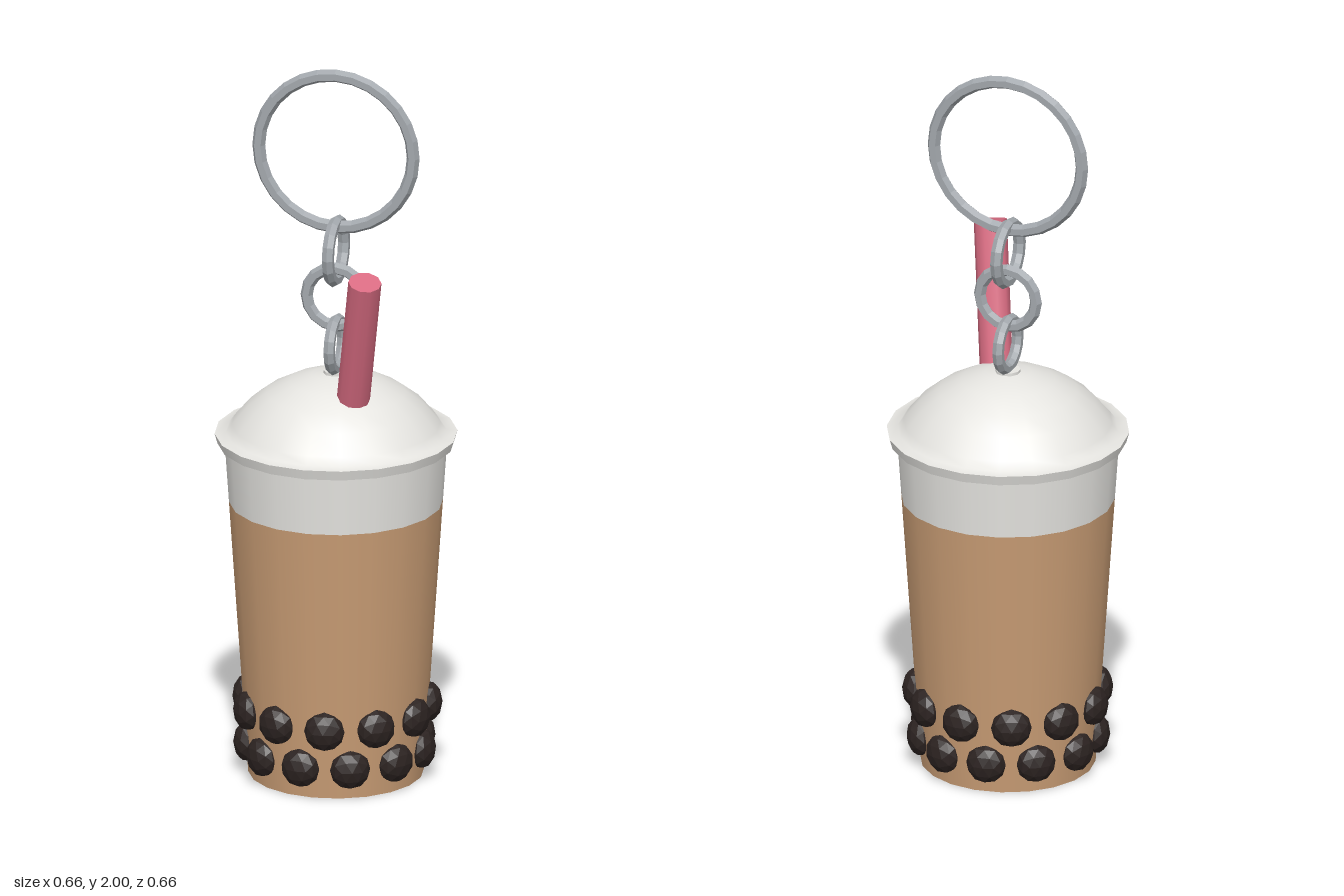
import * as THREE from 'three';

const mat = (name, color, extra = {}) => {
  const m = new THREE.MeshStandardMaterial({ color, ...extra });
  m.name = name;
  return m;
};

export function createModel() {
  const model = new THREE.Group();
  model.name = 'drinkKeychain';

  const white = mat('milk white', 0xe6e5e1);
  const tea = mat('milk tea', 0xc89c74);
  const pink = mat('straw pink', 0xd96c82);
  const black = mat('pearl black', 0x2c2321, { flatShading: true });
  const metal = mat('metal grey', 0xa3a8ad, { flatShading: true });

  const add = (name, geometry, material, x = 0, y = 0, z = 0) => {
    const mesh = new THREE.Mesh(geometry, material);
    mesh.name = name;
    mesh.position.set(x, y, z);
    model.add(mesh);
    return mesh;
  };
  const lathe = (pts) =>
    new THREE.LatheGeometry(pts.map(([r, y]) => new THREE.Vector2(r, y)), 20);

  // Tapered cup: tea below, pale band above
  add('teaBody', new THREE.CylinderGeometry(0.289, 0.237, 0.77, 20), tea, 0, 0.385, 0);
  add('cupBand', new THREE.CylinderGeometry(0.301, 0.289, 0.175, 20, 1, true), white, 0, 0.8575, 0);

  // Lid: underside, slanted rim and dome
  add('lidUnderside', lathe([[0.285, 0.937], [0.32, 0.937]]), white);
  add('lidRim', lathe([[0.32, 0.937], [0.328, 0.965]]), white);
  add('lidDome', lathe([
    [0.328, 0.965], [0.298, 0.968], [0.282, 0.99], [0.238, 1.042],
    [0.188, 1.08], [0.127, 1.112], [0.065, 1.131], [0, 1.137],
  ]), white);
  add('lidPeg', new THREE.CylinderGeometry(0.034, 0.034, 0.04, 10), white, 0, 1.122, 0);

  // Straw leaning forward and to the left
  const foot = new THREE.Vector3(0.062, 1.01, 0.077);
  const tip = new THREE.Vector3(0.139, 1.475, 0.211);
  const dir = tip.clone().sub(foot);
  const straw = add('straw', new THREE.CylinderGeometry(0.045, 0.045, dir.length(), 10), pink);
  straw.position.copy(foot).add(tip).multiplyScalar(0.5);
  straw.quaternion.setFromUnitVectors(new THREE.Vector3(0, 1, 0), dir.normalize());

  // Two staggered rows of flattened pearls
  const pearlGeo = new THREE.IcosahedronGeometry(0.055, 1);
  [[0.24, 0.083, 0], [0.25, 0.195, 0.5]].forEach(([r, y, offset]) => {
    for (let i = 0; i < 11; i++) {
      const a = ((i + offset) / 11) * Math.PI * 2;
      const pearl = add('pearl', pearlGeo, black, r * Math.cos(a), y, r * Math.sin(a));
      pearl.rotation.y = -a;
      pearl.scale.x = 0.68;
    }
  });

  // Chain links alternate direction, ending in the large key ring
  const ring = (name, y, radius, tube, sides, turned) => {
    const mesh = add(name, new THREE.TorusGeometry(radius, tube, 6, sides), metal, 0, y, 0);
    if (turned) mesh.rotation.y = Math.PI / 2;
  };
  ring('lowerLink', 1.215, 0.069, 0.016, 16, true);
  ring('middleLink', 1.35, 0.082, 0.017, 16, false);
  ring('upperLink', 1.482, 0.082, 0.017, 16, true);
  ring('keyRing', 1.766, 0.216, 0.018, 28, false);

  return model;
}
